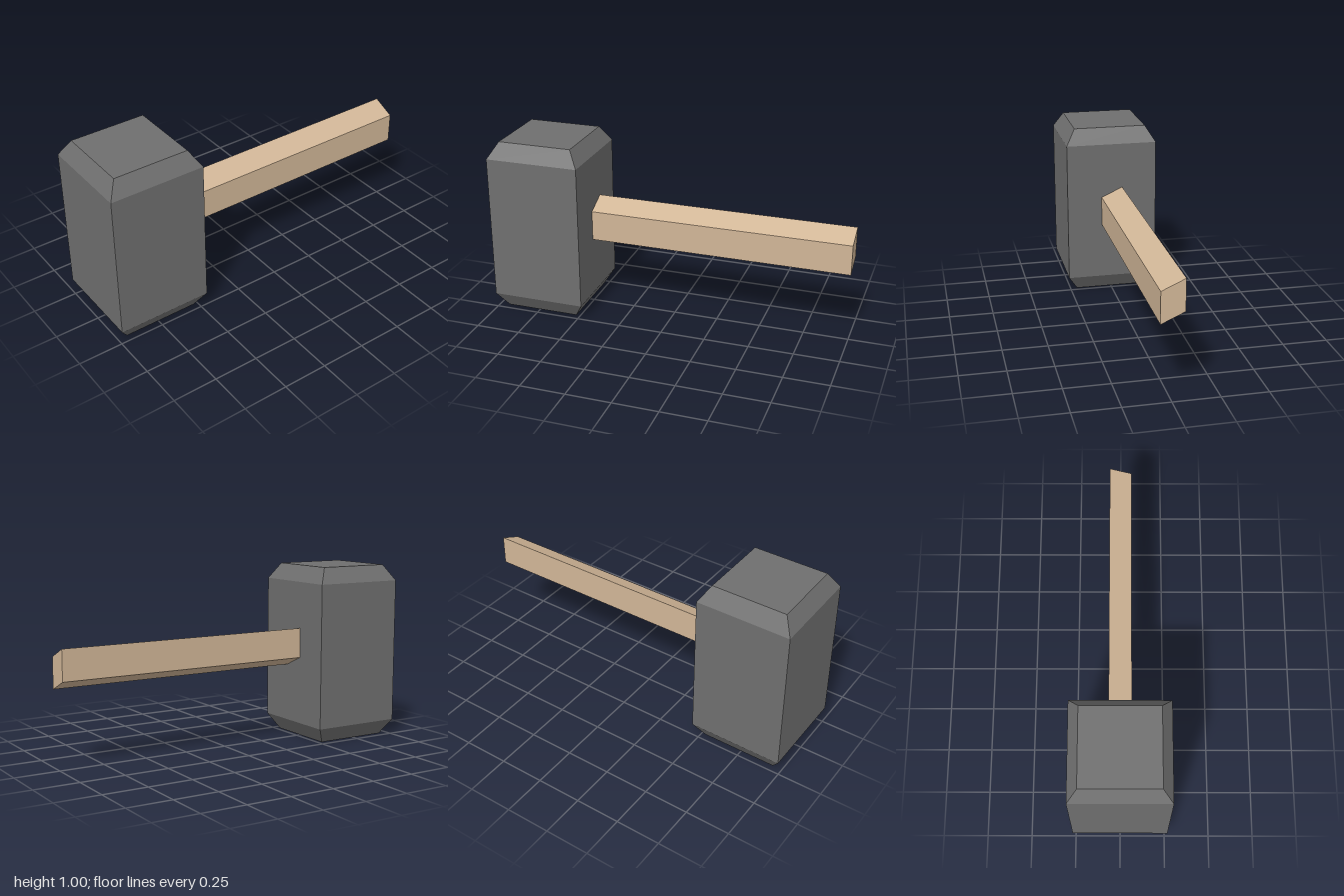
import * as THREE from 'three';

// Reshape a geometry by a rule applied to every vertex
function reshape(geometry, rule) {
  const p = geometry.attributes.position;
  const v = new THREE.Vector3();
  for (let i = 0; i < p.count; i++) {
    v.fromBufferAttribute(p, i);
    rule(v);
    p.setXYZ(i, v.x, v.y, v.z);
  }
  const flat = geometry.toNonIndexed();
  flat.computeVertexNormals();
  return flat;
}

export function createModel() {
  const stone = new THREE.MeshStandardMaterial({ name: 'darkGreyStone', color: 0x6f6f6f });
  const wood = new THREE.MeshStandardMaterial({ name: 'paleWood', color: 0xd1b697 });
  const group = new THREE.Group();
  group.name = 'hammer';

  // Square block head, tapered at both ends
  const half = 0.265, taper = 0.21 / half;
  const headGeometry = reshape(new THREE.BoxGeometry(half * 2, 1, half * 2, 1, 3, 1), (v) => {
    if (Math.abs(v.y) > 0.4) {
      v.x *= taper;
      v.z *= taper;
    } else {
      v.y = Math.sign(v.y) * 0.41;
    }
  });
  const head = new THREE.Mesh(headGeometry, stone);
  head.name = 'head';
  head.position.set(0, 0.5, 1 - half);
  group.add(head);

  // Straight handle with a slanted, parallelogram section
  const handleGeometry = reshape(new THREE.BoxGeometry(0.124, 0.17, 1.48), (v) => {
    v.y -= v.x * 0.455;
  });
  const handle = new THREE.Mesh(handleGeometry, wood);
  handle.name = 'handle';
  handle.position.set(0, 0.532, -0.26);
  group.add(handle);

  return group;
}
